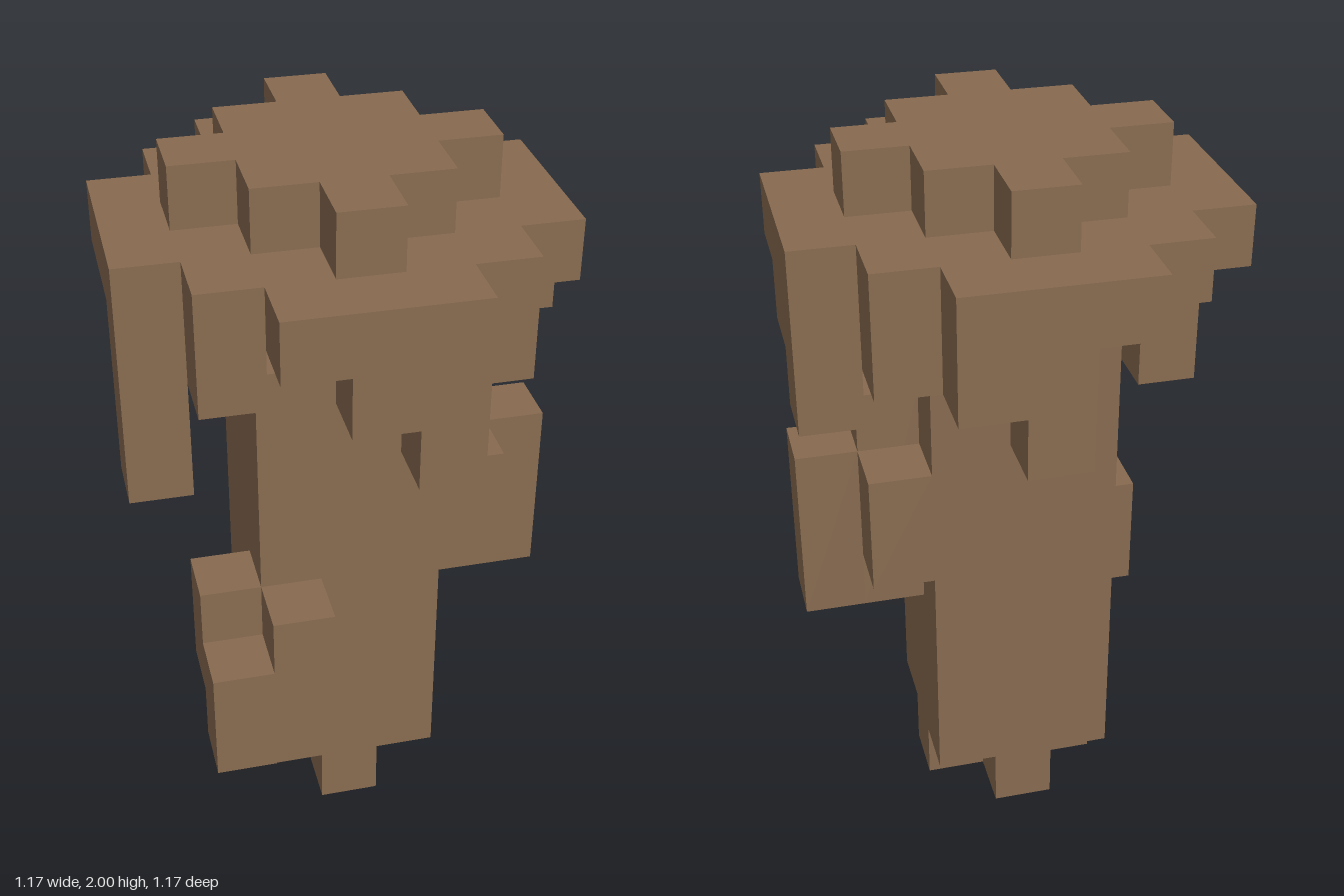
import * as THREE from 'three';
import { mergeGeometries } from 'three/addons/utils/BufferGeometryUtils.js';

const U = 1 / 6; // one grid cell

// Box spanning whole cells: columns x0..x1 and z0..z1 (0 = centre), layers y0..y1
function cells(x0, x1, y0, y1, z0, z1) {
  const g = new THREE.BoxGeometry((x1 - x0 + 1) * U, (y1 - y0 + 1) * U, (z1 - z0 + 1) * U);
  return g.translate((x0 + x1) / 2 * U, (y0 + y1 + 1) / 2 * U, (z0 + z1) / 2 * U);
}

// One layer in the shape of a plus, three cells wide
const plus = (y) => [
  cells(-1, 1, y, y, 0, 0),
  cells(0, 0, y, y, 1, 1),
  cells(0, 0, y, y, -1, -1),
];

export function createModel() {
  const model = new THREE.Group();
  const bark = new THREE.MeshStandardMaterial({ color: 0x886b50 });
  bark.name = 'brown';

  const add = (name, boxes) => {
    const mesh = new THREE.Mesh(mergeGeometries(boxes), bark);
    mesh.name = name;
    model.add(mesh);
  };

  add('foot', plus(0));
  add('trunk', [cells(-1, 1, 1, 8, -1, 1)]);
  add('neck', plus(9));

  // Stepped round cap with a smaller crown on top
  add('cap', [
    cells(-3, 3, 10, 10, -1, 1),
    ...[-1, 1].flatMap((s) => [
      cells(-2, 2, 10, 10, 2 * s, 2 * s),
      cells(-1, 1, 10, 10, 3 * s, 3 * s),
    ]),
  ]);
  add('crown', [
    cells(-1, 1, 11, 11, -1, 1),
    ...[-1, 1].flatMap((s) => [
      cells(2 * s, 2 * s, 11, 11, 0, 0),
      cells(0, 0, 11, 11, 2 * s, 2 * s),
    ]),
  ]);

  // Columns hanging from the rim: [x, z, lowest layer]
  const hanging = [
    [0, 3, 9], [1, 3, 8],
    [3, 0, 9], [3, -1, 8],
    [1, -3, 9], [0, -3, 8],
    [-3, 1, 7],
    [2, 2, 9], [-2, 2, 9], [2, -2, 9],
  ];
  add('capRim', hanging.map(([x, z, y]) => cells(x, x, y, 9, z, z)));

  // Growth on the left side of the trunk
  add('leftBranch', [
    cells(2, 2, 4, 7, 0, 0),
    cells(3, 3, 4, 6, 0, 0),
    cells(2, 2, 5, 6, 1, 1),
    cells(2, 2, 5, 6, -1, -1),
  ]);

  // Growth wrapped round the front right corner
  add('rightBranch', [
    cells(-1, -1, 3, 4, 2, 2),
    cells(-2, -2, 2, 3, 2, 2),
    cells(-2, -2, 3, 4, 1, 1),
  ]);

  return model;
}
